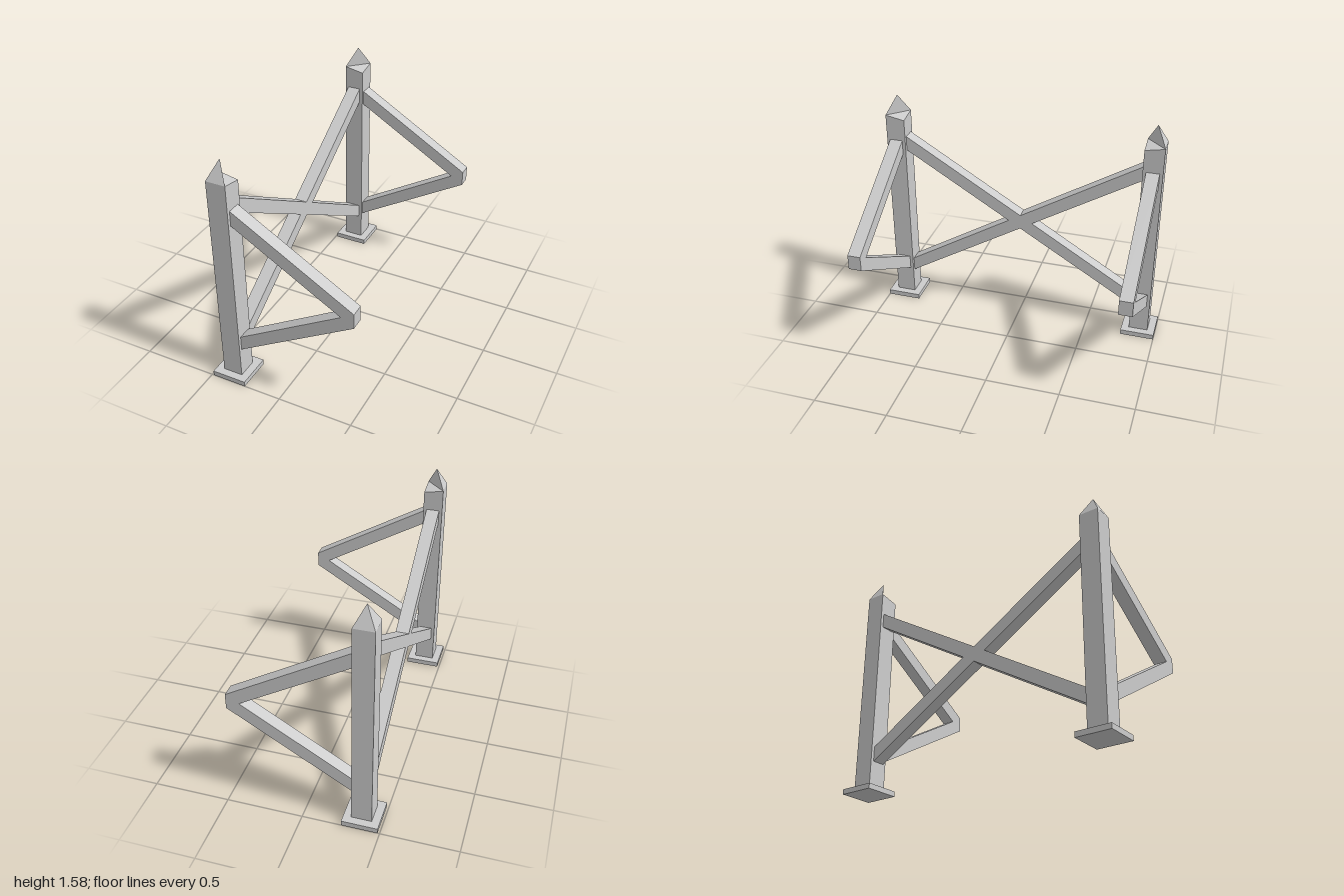
import * as THREE from 'three';
import { ConvexGeometry } from 'three/addons/geometries/ConvexGeometry.js';

const PX = -0.37, PZ = 0.883, HALF = 0.066; // post centre and half width
const PLATE_H = 0.035, POST_TOP = 1.45, APEX = 1.58;

export function createModel() {
  const group = new THREE.Group();
  const material = new THREE.MeshStandardMaterial({ color: 0xcccccc, flatShading: true });

  const add = (name, geometry, parent = group) => {
    const mesh = new THREE.Mesh(geometry, material);
    mesh.name = name;
    parent.add(mesh);
    return mesh;
  };

  const extrude = (points, depth) =>
    new THREE.ExtrudeGeometry(
      new THREE.Shape(points.map(([x, y]) => new THREE.Vector2(x, y))),
      { depth, bevelEnabled: false }
    );

  for (const s of [1, -1]) {
    const end = new THREE.Group();
    end.name = s > 0 ? 'frontEnd' : 'backEnd';
    group.add(end);

    // Corner of the post; sz = 1 is the outward side
    const corner = (sx, sz, y) =>
      new THREE.Vector3(PX + sx * HALF, y, s * (PZ + sz * HALF));

    // Foot plate
    add('footPlate', new THREE.BoxGeometry(0.234, PLATE_H, 0.234), end)
      .position.set(PX, PLATE_H / 2, s * PZ);

    // Square post whose inner corner dips slightly at the top
    const rim = [corner(-1, -1, POST_TOP), corner(1, 1, POST_TOP), corner(-1, 1, POST_TOP)];
    const foot = [[-1, -1], [1, -1], [1, 1], [-1, 1]].map(([a, b]) => corner(a, b, PLATE_H));
    add('post', new ConvexGeometry([...foot, ...rim, corner(1, -1, 1.425)]), end);

    // Pointed cap covering the outer half of the post, cut along its diagonal
    add('postCap', new ConvexGeometry([...rim, new THREE.Vector3(PX, APEX, s * PZ)]), end);

    // V-shaped side arm
    const x0 = PX + HALF;
    const arm = extrude([
      [x0, 0.234], [0.485, 0.703], [0.485, 0.805],
      [x0, 1.273], [x0, 1.172], [0.4, 0.754], [x0, 0.335],
    ], 0.088);
    add('sideArm', arm, end).position.z = s * PZ - 0.044;
  }

  // Crossed braces between the posts
  const z0 = PZ - HALF;
  const cross = extrude([
    [-z0, 0.21], [0, 0.703], [z0, 0.21], [z0, 0.31], [0.084, 0.754], [z0, 1.196],
    [z0, 1.298], [0, 0.805], [-z0, 1.298], [-z0, 1.196], [-0.084, 0.754], [-z0, 0.31],
  ], 0.088);
  cross.rotateY(-Math.PI / 2);
  add('crossBrace', cross).position.x = PX + 0.044;

  return group;
}
